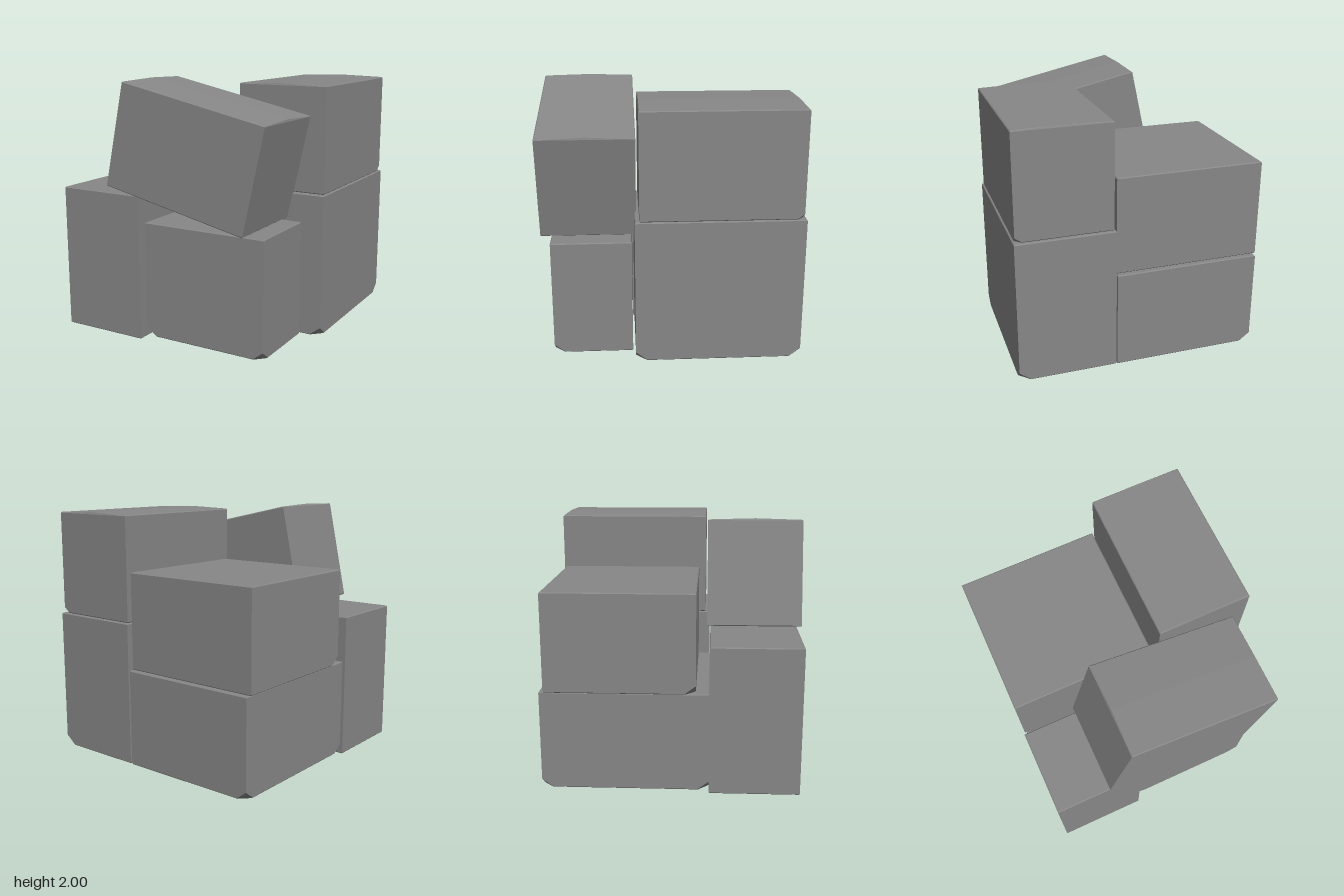
import * as THREE from 'three';
import { ConvexGeometry } from 'three/addons/geometries/ConvexGeometry.js';

const material = new THREE.MeshStandardMaterial({ color: 0x878787, flatShading: true });
const CORNERS = ['--', '-+', '+-', '++']; // signs of x and z

// A slightly worn crate: thin edge bevels and optionally cut bottom corners.
// cuts maps a corner's x and z signs to the size of its cut;
// bow names the axis along which the top is faintly arched.
function crate(name, [w, h, d], cuts = {}, bow = '') {
  const x = w / 2, y = h / 2, z = d / 2, bevel = 0.007;
  const top = bow ? y - 0.01 : y;
  const points = [];
  const add = (px, py, pz) => points.push(new THREE.Vector3(px, py, pz));
  for (const key of CORNERS) {
    const sx = key[0] === '+' ? 1 : -1;
    const sz = key[1] === '+' ? 1 : -1;
    // top edge
    add(sx * x, top - bevel, sz * z);
    add(sx * (x - bevel), top, sz * (z - bevel));
    // bottom corner
    const c = cuts[key];
    if (c) {
      add(sx * x, -y + c * 0.85, sz * z);
      add(sx * (x - c), -y + bevel, sz * z);
      add(sx * x, -y + bevel, sz * (z - c));
      add(sx * (x - c), -y, sz * (z - bevel));
      add(sx * (x - bevel), -y, sz * (z - c));
    } else {
      add(sx * x, -y + bevel, sz * z);
      add(sx * (x - bevel), -y, sz * (z - bevel));
    }
  }
  // crest of the arched top
  for (const s of [-1, 1]) {
    if (bow === 'x') add(0, y, s * (z - bevel));
    if (bow === 'z') add(s * (x - bevel), y, 0);
  }
  const mesh = new THREE.Mesh(new ConvexGeometry(points), material);
  mesh.name = name;
  return mesh;
}

export function createModel() {
  const group = new THREE.Group();
  group.name = 'crateStack';

  // Upright crates: [name, min corner, max corner, corner cuts, top arch]
  const upright = [
    ['frontTallCrate', [-0.96, 0.005, 0.285], [-0.25, 1.145, 0.97]],
    ['frontLowCrate', [-0.235, 0.02, 0.295], [0.785, 0.93, 0.905], { '-+': 0.08, '++': 0.08 }],
    ['backTallCrate', [0.2, 0.025, -0.985], [0.955, 1.145, 0.275], { '+-': 0.085, '++': 0.085 }],
    ['backLowCrate', [-0.935, 0.02, -0.98], [0.19, 0.78, 0.285], { '--': 0.08, '-+': 0.08 }],
    ['upperWideCrate', [-0.95, 0.78, -0.945], [0.19, 1.535, 0.185], { '-+': 0.08 }],
    ['upperTallCrate', [0.215, 1.145, -0.965], [0.945, 1.97, 0.24], { '+-': 0.05 }, 'x'],
  ];
  for (const [name, min, max, cuts, bow] of upright) {
    const mesh = crate(name, max.map((v, i) => v - min[i]), cuts, bow);
    mesh.position.set(...max.map((v, i) => (v + min[i]) / 2));
    group.add(mesh);
  }

  // Tilted crate resting on the two front ones
  const tilted = crate('tiltedCrate', [1.21, 0.825, 0.725], {}, 'z');
  tilted.position.set(0.152, 1.474, 0.622);
  tilted.rotation.z = -0.213;
  group.add(tilted);

  return group;
}
